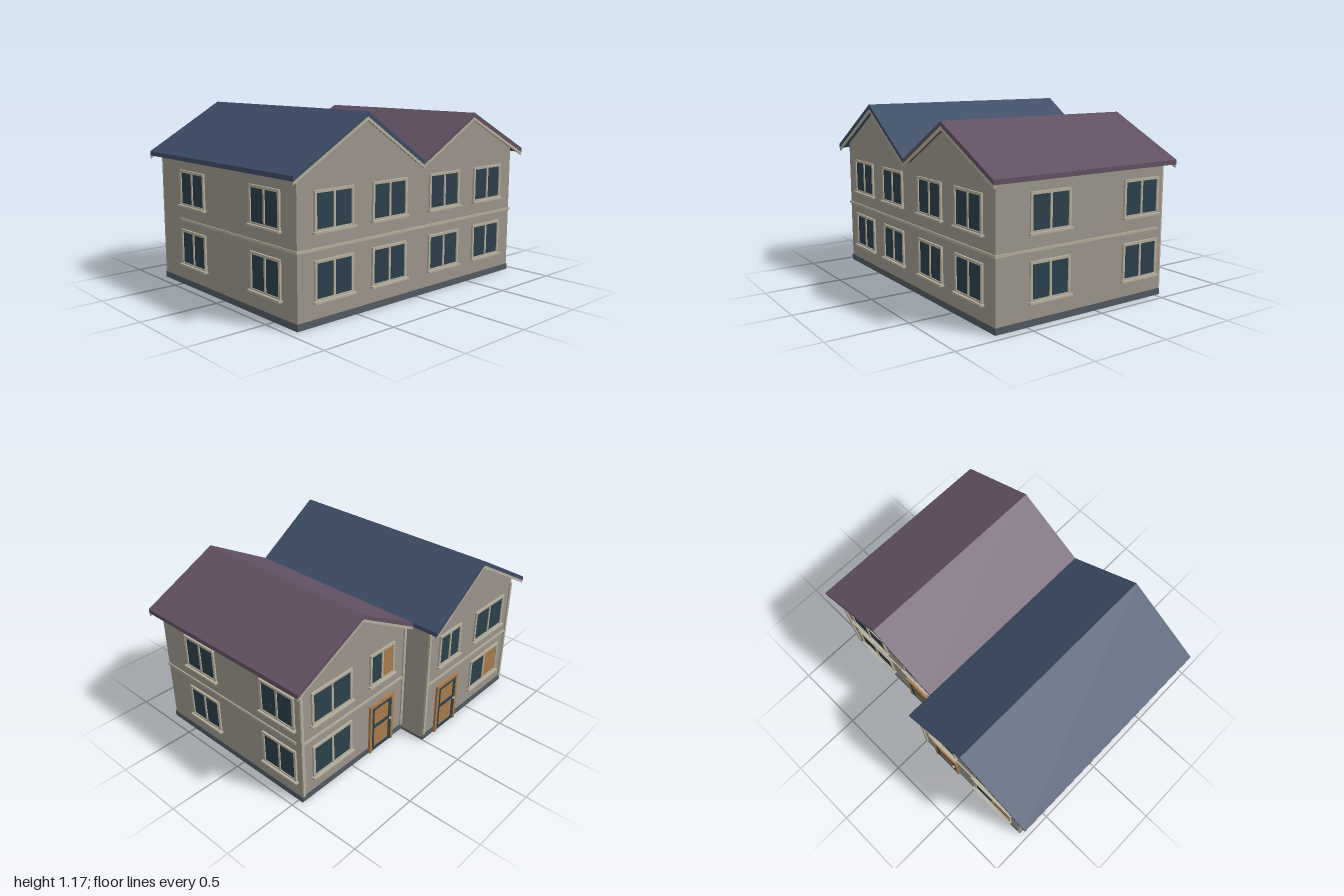
import * as THREE from 'three';

const mat = (color, side = THREE.FrontSide) => {
  const m = new THREE.MeshStandardMaterial({ side });
  m.color.set(color);
  return m;
};
const WALL = mat(0x9c958c), TRIM = mat(0xb5ae9b), GLASS = mat(0x2b404c);
const WOOD = mat(0xa87a4a), PLINTH = mat(0x515a61);
const BLUE = mat(0x3c4d66), PURPLE = mat(0x625062);

// Box given by its minimum and maximum corners
function box(parent, name, material, x0, x1, y0, y1, z0, z1) {
  const m = new THREE.Mesh(new THREE.BoxGeometry(x1 - x0, y1 - y0, z1 - z0), material);
  m.position.set((x0 + x1) / 2, (y0 + y1) / 2, (z0 + z1) / 2);
  m.name = name;
  parent.add(m);
  return m;
}

// Outline in x/y pushed from z0 to z1
function prism(parent, name, material, points, z0, z1) {
  const shape = new THREE.Shape(points.map(([x, y]) => new THREE.Vector2(x, y)));
  const geo = new THREE.ExtrudeGeometry(shape, { depth: z1 - z0, bevelEnabled: false });
  const m = new THREE.Mesh(geo, material);
  m.position.z = z0;
  m.name = name;
  parent.add(m);
}

// Two-pane window facing +z with its back on z = 0; boarded fills the right pane with wood
function makeWindow(w, h, boarded = false) {
  const g = new THREE.Group();
  g.name = 'window';
  const f = 0.016, x = w / 2;
  box(g, 'leftPane', GLASS, -x + f, 0, f, h - f, -0.002, 0.005);
  box(g, 'rightPane', boarded ? WOOD : GLASS, 0, x - f, f, h - f, -0.002, 0.005);
  for (const s of [-1, 1]) box(g, 'jamb', TRIM, s * (x - f / 2) - f / 2, s * (x - f / 2) + f / 2, 0, h, -0.002, 0.012);
  box(g, 'head', TRIM, -x, x, h - f, h, -0.002, 0.013);
  box(g, 'bottomRail', TRIM, -x + f, x - f, 0, f, -0.002, 0.011);
  box(g, 'mullion', TRIM, -0.007, 0.007, f, h - f, -0.002, 0.011);
  box(g, 'sill', TRIM, -x - 0.01, x + 0.01, -0.006, 0.006, -0.002, 0.026);
  return g;
}

// Panelled door facing +z with its foot on y = 0
function makeDoor(w, h) {
  const g = new THREE.Group();
  g.name = 'door';
  const x = w / 2, f = 0.02, s = 0.024;
  for (const d of [-1, 1]) {
    box(g, 'doorJamb', WOOD, d * (x - f / 2) - f / 2, d * (x - f / 2) + f / 2, 0, h, -0.002, 0.014);
    const c = d * (x - f - s / 2);
    box(g, 'doorStile', GLASS, c - s / 2, c + s / 2, 0.005, h - f, -0.002, 0.01);
  }
  box(g, 'doorHead', WOOD, -x, x, h - f, h, -0.002, 0.015);
  box(g, 'doorPanels', WOOD, -x + f, x - f, 0.005, h - f, -0.002, 0.006);
  for (const y of [0.018, 0.195, h - f - s / 2]) {
    box(g, 'doorRail', GLASS, -x + f + s, x - f - s, y - s / 2, y + s / 2, -0.002, 0.01);
  }
  box(g, 'doorHandle', TRIM, x - f - s, x - f - 0.006, 0.18, 0.188, 0.008, 0.022);
  return g;
}

function place(parent, item, x, y, z, turn) {
  item.position.set(x, y, z);
  item.rotation.y = turn;
  parent.add(item);
}

const FRONT = 0.71, SIDE = 0.94;
const FLOORS = [[0.14, 0.235], [0.53, 0.232]]; // sill height, window height

// One half of the pair; s = +1 or -1 is the side of x it stands on
function makeHouse({ name, s, back, ridge, roofMat, sideZ, boardedBig, boardedSmall }) {
  const g = new THREE.Group();
  g.name = name;
  const eave = 0.86, peak = 0.47, t = 0.028, e = 0.003;
  const xs = (a, b) => [Math.min(s * a, s * b), Math.max(s * a, s * b)];
  const slopeOut = (ridge - eave) / (1 - peak);

  // Gabled body
  prism(g, 'walls', WALL, [
    [0, 0], [s * SIDE, 0], [s * SIDE, eave - t + slopeOut * (1 - SIDE)],
    [s * peak, ridge - t], [0, eave - t],
  ], back, FRONT);

  // Plinth and floor band
  box(g, 'plinth', PLINTH, ...xs(0, SIDE + 0.005), 0.002, 0.042, back - 0.005, FRONT + 0.005);
  box(g, 'frontBand', TRIM, ...xs(0, SIDE), 0.429, 0.445, FRONT - e, FRONT + 0.008);
  box(g, 'backBand', TRIM, ...xs(0.02, SIDE - 0.02), 0.429, 0.445, back - 0.008, back + e);
  box(g, 'sideBand', TRIM, ...xs(SIDE - e, SIDE + 0.007), 0.429, 0.445, -0.495, FRONT + 0.008);

  // Rear corner boards
  for (const x of [0.01, SIDE - 0.01]) {
    box(g, 'cornerBoard', TRIM, ...xs(x - 0.01, x + 0.01), 0.042, 0.825, back - 0.01, back + e);
  }

  // Roof slab and the barge boards at both gables
  const band = (top, thick) => [
    [0, eave - top], [s * peak, ridge - top], [s, eave - top],
    [s, eave - top - thick], [s * peak, ridge - top - thick], [0, eave - top - thick],
  ];
  prism(g, 'roof', roofMat, band(0, t), back - 0.055, 0.762);
  for (const z of [back - 0.053, 0.75]) prism(g, 'bargeBoard', TRIM, band(t, 0.02), z, z + 0.01);

  // Windows on the front, side and back, floor by floor
  FLOORS.forEach(([y, h], floor) => {
    for (const x of [0.245, 0.68]) place(g, makeWindow(0.288, h), s * x, y, FRONT, 0);
    for (const z of sideZ) place(g, makeWindow(0.285, h), s * SIDE, y, z, s * Math.PI / 2);
    place(g, makeWindow(0.34, h, boardedBig && floor === 0), s * 0.68, y, back, Math.PI);
  });
  place(g, makeWindow(0.23, FLOORS[1][1], boardedSmall), s * 0.23, FLOORS[1][0], back, Math.PI);
  place(g, makeDoor(0.23, 0.372), s * 0.23, 0.004, back - 0.005, Math.PI);
  return g;
}

export function createModel() {
  const model = new THREE.Group();
  model.name = 'semiDetachedHouses';
  model.add(makeHouse({
    name: 'deepHouse', s: -1, back: -0.71, ridge: 1.17, roofMat: BLUE,
    sideZ: [0.43, -0.335], boardedBig: true, boardedSmall: false,
  }));
  model.add(makeHouse({
    name: 'shortHouse', s: 1, back: -0.53, ridge: 1.123, roofMat: PURPLE,
    sideZ: [0.343, -0.35], boardedBig: false, boardedSmall: true,
  }));
  return model;
}
